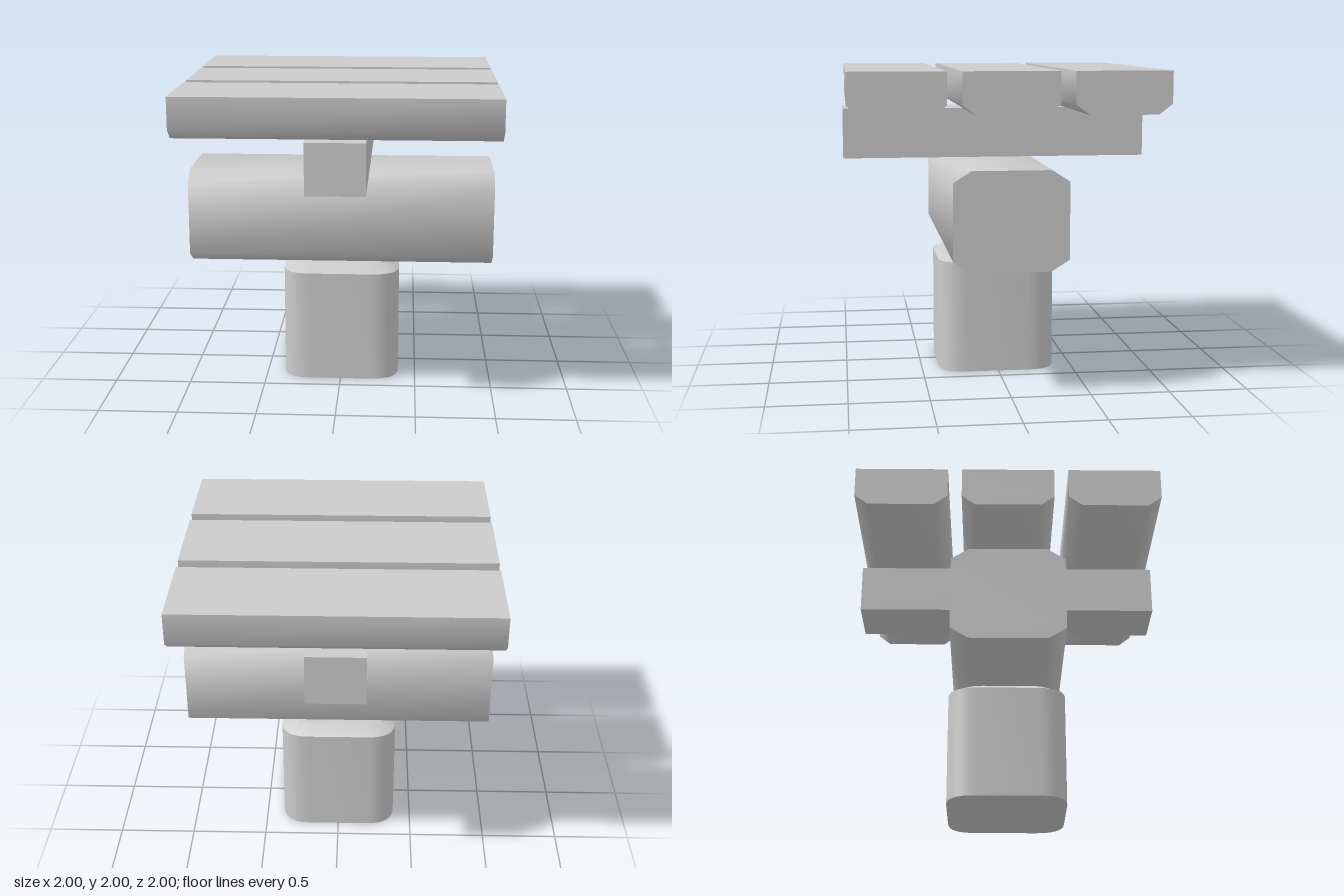
import * as THREE from 'three';
import { toCreasedNormals } from 'three/addons/utils/BufferGeometryUtils.js';

const material = new THREE.MeshStandardMaterial({ color: 0xcccccc });

function part(name, geometry, x = 0, y = 0, z = 0) {
  const mesh = new THREE.Mesh(geometry, material);
  mesh.name = name;
  mesh.position.set(x, y, z);
  return mesh;
}

// Beam running along x: a symmetric cross-section given by its +z half, bottom to top
function beamGeometry(half, length) {
  const mirrored = half.slice().reverse().map(([z, y]) => [-z, y]);
  const shape = new THREE.Shape([...half, ...mirrored].map(([z, y]) => new THREE.Vector2(z, y)));
  const geometry = new THREE.ExtrudeGeometry(shape, { depth: length, bevelEnabled: false });
  geometry.translate(0, 0, -length / 2).rotateY(Math.PI / 2);
  return toCreasedNormals(geometry, 1.03);
}

// Upright post: square with soft corners, its top rim sloping inward
function postGeometry(h, flat, shoulder, top, topScale) {
  const s = new THREE.Shape();
  s.moveTo(h, -flat);
  s.lineTo(h, flat);
  s.quadraticCurveTo(h, h, flat, h);
  s.lineTo(-flat, h);
  s.quadraticCurveTo(-h, h, -h, flat);
  s.lineTo(-h, -flat);
  s.quadraticCurveTo(-h, -h, -flat, -h);
  s.lineTo(flat, -h);
  s.quadraticCurveTo(h, -h, h, -flat);
  const geometry = new THREE.ExtrudeGeometry(s, { depth: 1, steps: 2, curveSegments: 8, bevelEnabled: false });
  geometry.rotateX(-Math.PI / 2);
  const p = geometry.attributes.position;
  for (let i = 0; i < p.count; i++) {
    const level = Math.round(p.getY(i) * 2);
    const k = level === 2 ? topScale : 1;
    p.setXYZ(i, p.getX(i) * k, [0, shoulder, top][level], p.getZ(i) * k);
  }
  return toCreasedNormals(geometry, 0.9);
}

export function createModel() {
  const model = new THREE.Group();
  model.name = 'stackedBeams';

  model.add(part('post', postGeometry(0.385, 0.2, 0.735, 0.785, 0.79)));

  // Heavy beam with all four long edges chamfered
  const beam = [[0.245, 0.785], [0.357, 0.857], [0.357, 1.335], [0.245, 1.407]];
  model.add(part('mainBeam', beamGeometry(beam, 2)));

  model.add(part('crossBeam', new THREE.BoxGeometry(0.37, 0.325, 2), 0, 1.5725, 0));

  // Three planks with chamfered undersides
  const plank = beamGeometry([[0.212, 1.735], [0.297, 1.8], [0.297, 2]], 2);
  ['backPlank', 'middlePlank', 'frontPlank'].forEach((name, i) => {
    model.add(part(name, plank, 0, 0, (i - 1) * 0.685));
  });

  return model;
}
